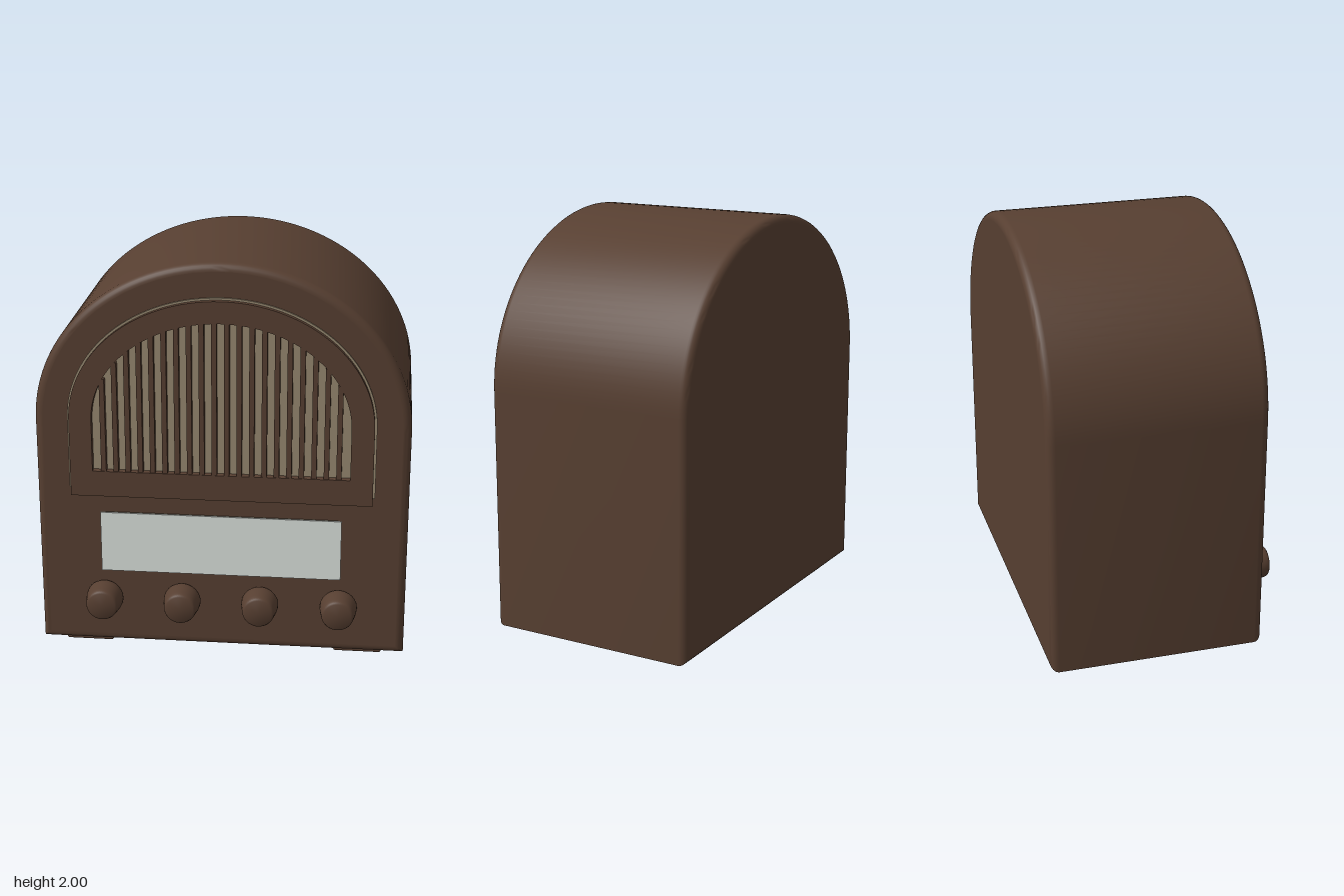
import * as THREE from 'three';
import { toCreasedNormals } from 'three/addons/utils/BufferGeometryUtils.js';
import { RoundedBoxGeometry } from 'three/addons/geometries/RoundedBoxGeometry.js';

const material = (name, color) => {
  const m = new THREE.MeshStandardMaterial({ color });
  m.name = name;
  return m;
};

// Points of an arch: straight sides topped by a half ellipse, left foot last
function archPoints(a, bottom, spring, top, steps = 64) {
  const points = [new THREE.Vector2(a, bottom)];
  for (let i = 0; i <= steps; i++) {
    const t = (Math.PI * i) / steps;
    points.push(new THREE.Vector2(a * Math.cos(t), spring + (top - spring) * Math.sin(t)));
  }
  points.push(new THREE.Vector2(-a, bottom));
  return points;
}

// Extrudes from z = back to z = front with smooth curves, crisp corners and flat caps
function extrude(shape, back, front, bevel = 0) {
  const raw = new THREE.ExtrudeGeometry(shape, {
    depth: front - back - 2 * bevel,
    bevelEnabled: bevel > 0,
    bevelSize: bevel,
    bevelThickness: bevel,
    bevelOffset: -bevel,
    bevelSegments: 6,
  });
  raw.translate(0, 0, back + bevel);
  const geometry = toCreasedNormals(raw, 0.6);
  const caps = raw.groups[0];
  const middle = (front + back) / 2;
  for (let i = caps.start; i < caps.start + caps.count; i++) {
    geometry.attributes.normal.setXYZ(i, 0, 0, Math.sign(geometry.attributes.position.getZ(i) - middle));
  }
  geometry.clearGroups();
  return geometry;
}

export function createModel() {
  const group = new THREE.Group();
  group.name = 'tableRadio';
  const wood = material('walnut', 0x573f31);
  const cloth = material('beige', 0x968870);
  const glass = material('paleGlass', 0xdce2dd);

  const add = (name, geometry, mat, x = 0, y = 0, z = 0) => {
    const mesh = new THREE.Mesh(geometry, mat);
    mesh.name = name;
    mesh.position.set(x, y, z);
    group.add(mesh);
    return mesh;
  };

  // Arched cabinet with softened front and back edges
  add('cabinet', extrude(new THREE.Shape(archPoints(0.91, 0.025, 1.2, 2)), -0.595, 0.467, 0.04), wood);

  // Thin trim following the outside of the grille frame
  const trim = new THREE.Shape([
    ...archPoints(0.746, 0.86, 1.22, 1.838),
    ...archPoints(0.73, 0.86, 1.22, 1.822).reverse(),
  ]);
  add('grilleTrim', extrude(trim, 0.46, 0.476), cloth);

  // Grille frame with an arched opening
  const frame = new THREE.Shape(archPoints(0.735, 0.83, 1.22, 1.828));
  frame.holes.push(new THREE.Path(archPoints(0.625, 0.96, 1.22, 1.72).reverse()));
  add('grilleFrame', extrude(frame, 0.46, 0.504), wood);

  // Cloth behind the bars
  add('speakerCloth', extrude(new THREE.Shape(archPoints(0.64, 0.94, 1.22, 1.735)), 0.464, 0.47), cloth);

  // Upright bars, each cut to the height of the arch
  for (let i = 0; i < 20; i++) {
    const x = (i - 9.5) * 0.06;
    const top = 1.225 + 0.5 * Math.sqrt(1 - (x / 0.625) ** 2);
    add('grilleBar', new THREE.BoxGeometry(0.025, top - 0.95, 0.036), wood, x, (top + 0.95) / 2, 0.482);
  }

  // Tuning dial: backing plate and glass pane
  add('dialPlate', new THREE.BoxGeometry(1.14, 0.285, 0.02), cloth, 0, 0.597, 0.488);
  add('dialGlass', new THREE.BoxGeometry(1.18, 0.31, 0.009), glass, 0, 0.595, 0.513);

  // Four tapered knobs
  const knobProfile = [
    [0, 0], [0.08, 0], [0.088, 0.004], [0.092, 0.014], [0.09, 0.04], [0.082, 0.09],
    [0.079, 0.106], [0.074, 0.116], [0.066, 0.121], [0, 0.122],
  ].map(([r, h]) => new THREE.Vector2(r, h));
  const knob = toCreasedNormals(new THREE.LatheGeometry(knobProfile, 40), 0.55);
  knob.rotateX(Math.PI / 2);
  for (const x of [-0.583, -0.194, 0.194, 0.583]) add('knob', knob, wood, x, 0.28, 0.478);

  // Two runner feet under the cabinet
  const foot = new RoundedBoxGeometry(0.24, 0.05, 0.97, 3, 0.012);
  for (const side of [-1, 1]) add('foot', foot, wood, side * 0.68, 0.025, -0.065);

  return group;
}
